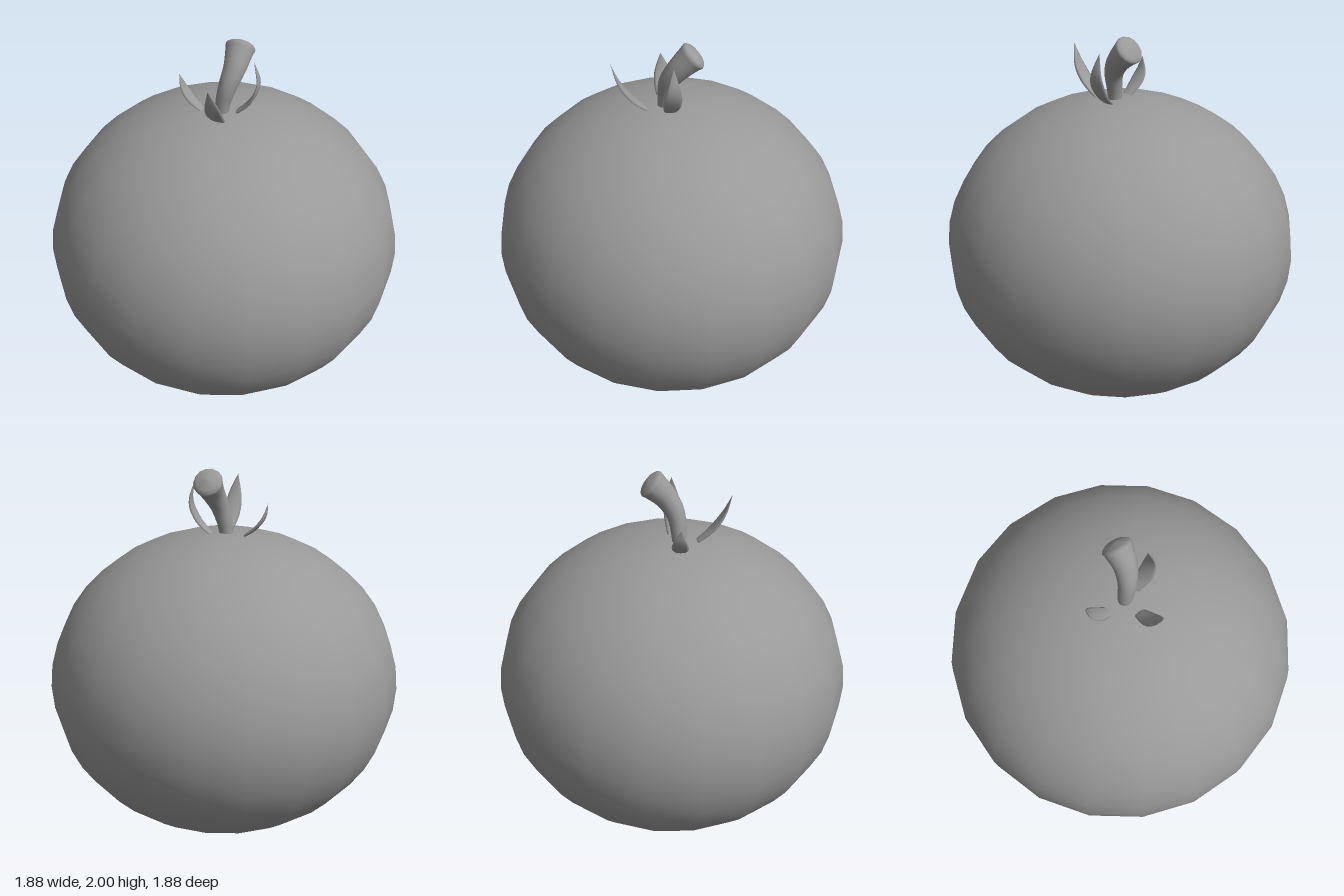
import * as THREE from 'three';

const V = (x, y, z) => new THREE.Vector3(x, y, z);

// Skin through equal-sized rings of points, counter-clockwise about the travel direction, ends closed
function loft(rings) {
  const n = rings[0].length, pos = [], index = [];
  rings.forEach((ring) => ring.forEach((p) => pos.push(p.x, p.y, p.z)));
  for (let i = 0; i < rings.length - 1; i++) {
    for (let j = 0; j < n; j++) {
      const a = i * n + j, b = i * n + (j + 1) % n;
      index.push(a, b, b + n, a, b + n, a + n);
    }
  }
  const last = (rings.length - 1) * n;
  for (let j = 1; j < n - 1; j++) {
    index.push(0, j + 1, j, last, last + j, last + j + 1);
  }
  const geometry = new THREE.BufferGeometry();
  geometry.setAttribute('position', new THREE.Float32BufferAttribute(pos, 3));
  geometry.setIndex(index);
  geometry.computeVertexNormals();
  return geometry;
}

// Elliptical sections swept along a smooth curve; side is the width direction
function sweep(points, steps, sides, side, widthAt, depthAt) {
  const curve = new THREE.CatmullRomCurve3(points);
  const rings = [];
  for (let i = 0; i <= steps; i++) {
    const t = i / steps, c = curve.getPoint(t), tangent = curve.getTangent(t);
    const u = side.clone().addScaledVector(tangent, -side.dot(tangent)).normalize();
    const v = tangent.clone().cross(u);
    rings.push(Array.from({ length: sides }, (_, j) => {
      const a = (j / sides) * Math.PI * 2;
      return c.clone().addScaledVector(u, Math.cos(a) * widthAt(t)).addScaledVector(v, Math.sin(a) * depthAt(t));
    }));
  }
  return loft(rings);
}

export function createModel() {
  const group = new THREE.Group();
  const grey = new THREE.MeshStandardMaterial({ color: 0x999999 });
  grey.name = 'grey';
  const add = (name, geometry) => {
    const mesh = new THREE.Mesh(geometry, grey);
    mesh.name = name;
    group.add(mesh);
    return mesh;
  };

  // Squashed round fruit
  const fruit = add('fruit', new THREE.SphereGeometry(0.942, 20, 20));
  fruit.scale.y = 0.82 / 0.942;
  fruit.position.y = 0.82;

  // Stem bending backwards, flaring to a rounded end
  const stemPath = [
    V(0.015, 1.6, 0.035), V(0.022, 1.69, 0.027), V(0.034, 1.78, 0.004),
    V(0.03, 1.86, -0.047), V(0.006, 1.92, -0.1), V(-0.012, 1.955, -0.135),
  ];
  const stemRadius = (t) => t > 0.88
    ? 0.078 * Math.sqrt(Math.max(0.02, 1 - ((t - 0.88) / 0.12) ** 2))
    : 0.035 + 0.043 * (t / 0.88) ** 1.4;
  add('stem', sweep(stemPath, 25, 14, V(1, 0, 0), stemRadius, stemRadius));

  // Three curled leaves around the stem: paths, broadest half width
  const leaves = [
    ['rightLeaf', [V(-0.06, 1.62, 0.08), V(-0.12, 1.67, 0.107), V(-0.165, 1.735, 0.128), V(-0.18, 1.81, 0.142)], 0.043],
    ['leftLeaf', [V(0.075, 1.62, 0.1), V(0.115, 1.69, 0.17), V(0.147, 1.78, 0.225), V(0.16, 1.885, 0.262)], 0.045],
    ['backLeaf', [V(0.06, 1.62, -0.02), V(0.13, 1.7, -0.06), V(0.162, 1.8, -0.083), V(0.14, 1.92, -0.072)], 0.046],
  ];
  for (const [name, path, half] of leaves) {
    const out = path[2].clone().sub(path[0]);
    const side = V(out.z, 0, -out.x).normalize();
    const taper = (t) => t < 0.45
      ? 0.6 + 0.4 * Math.sin((t / 0.45) * Math.PI / 2)
      : Math.max(0.02, Math.cos(((t - 0.45) / 0.55) * Math.PI / 2));
    add(name, sweep(path, 12, 8, side, (t) => half * taper(t), (t) => 0.01 * taper(t)));
  }
  return group;
}
